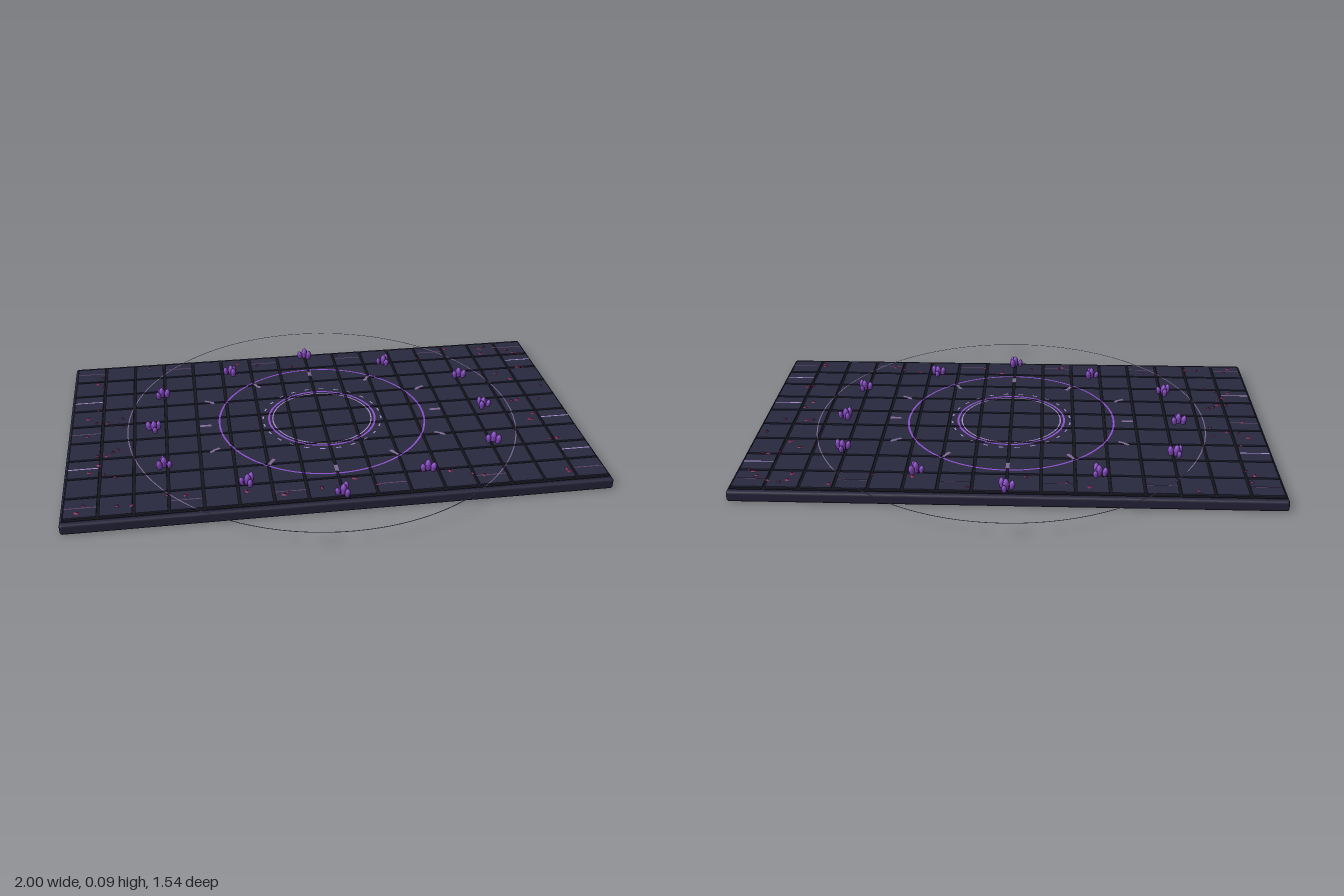
import * as THREE from 'three';
import { mergeGeometries } from 'three/addons/utils/BufferGeometryUtils.js';
import { RoundedBoxGeometry } from 'three/addons/geometries/RoundedBoxGeometry.js';

const mat = (name, color, side = THREE.FrontSide) => {
  const m = new THREE.MeshStandardMaterial({ color, side });
  m.name = name;
  return m;
};

export function createModel() {
  const group = new THREE.Group();
  const slabStone = mat('slab stone', 0x26243a);
  const tileStone = mat('tile stone', 0x29293f);
  const groove = mat('dark groove', 0x15151e);
  const violet = mat('violet rune', 0x9050d0, THREE.DoubleSide);
  const pale = mat('pale rune', 0xa78cc8, THREE.DoubleSide);
  const mauve = mat('mauve rune', 0x7d6a94, THREE.DoubleSide);
  const dim = mat('dim rune', 0x604468, THREE.DoubleSide);
  const crystal = mat('crystal', 0x8448c0);
  const crimson = mat('crimson shard', 0x7c2250);

  let seed = 17;
  const rand = () => (seed = (seed * 16807) % 2147483647) / 2147483647;
  const add = (name, geo, m) => {
    const mesh = new THREE.Mesh(geo, m);
    mesh.name = name;
    group.add(mesh);
  };
  const merged = (name, list, m) => add(name, mergeGeometries(list), m);
  const box = (w, h, d, x, y, z) => new THREE.BoxGeometry(w, h, d).translate(x, y, z);
  // Flat inlay lying just above the tiles
  const inlayY = 0.0525;
  const inlay = (w, d, x, z, turn = 0) =>
    new THREE.PlaneGeometry(w, d).rotateX(-Math.PI / 2).rotateY(turn).translate(x, inlayY, z);

  // Base slab with softened edges and the dark bed below the tiles
  add('slab', new RoundedBoxGeometry(2, 0.042, 1.166, 2, 0.01).translate(0, 0.021, 0), slabStone);
  add('grooveBed', box(1.984, 0.005, 1.126, 0, 0.0415, 0), groove);

  // 16 by 9 paving tiles
  const pitch = 0.124, tiles = [];
  for (let i = 0; i < 16; i++) {
    for (let j = 0; j < 9; j++) {
      tiles.push(box(0.114, 0.01, 0.114, (i - 7.5) * pitch, 0.045, (j - 4) * pitch));
    }
  }
  merged('tiles', tiles, tileStone);

  // Concentric rune rings
  const ring = (name, r, width, m) => add(name,
    new THREE.RingGeometry(r - width / 2, r + width / 2, 96).rotateX(-Math.PI / 2).translate(0, inlayY, 0), m);
  ring('outerRing', 0.77, 0.004, mauve);
  ring('middleRing', 0.41, 0.007, violet);
  ring('innerRing', 0.212, 0.008, violet);
  ring('coreRing', 0.197, 0.005, pale);

  // Dashed ring around the core
  const dashes = [];
  for (let i = 0; i < 24; i++) {
    const a = ((i + 0.5) / 24) * Math.PI * 2;
    dashes.push(inlay(0.02, 0.006, 0.236 * Math.cos(a), 0.236 * Math.sin(a), Math.PI / 2 - a));
  }
  merged('dashedRing', dashes, pale);

  // Mirrored radial marks: x, z, direction in degrees
  const mirrored = (list, visit) => list.forEach(([x, z, ...rest]) => {
    for (const sx of x ? [1, -1] : [1]) for (const sz of z ? [1, -1] : [1]) visit(x * sx, z * sz, sx * sz, ...rest);
  });
  const marks = [];
  mirrored([[0.465, 0, 0], [0.44, 0.187, 30], [0.235, 0.3, 57], [0, 0.375, 90]], (x, z, s, deg) =>
    marks.push(inlay(0.045, 0.014, x, z, (-s * deg * Math.PI) / 180)));
  merged('radialMarks', marks, mauve);

  // Inlaid lines at the two short ends and along the long edges
  const endLines = [[-0.93, -0.25], [-0.93, 0.25], [0.93, -0.375], [0.93, 0.123], [0.93, 0.37]]
    .map(([x, z]) => inlay(0.114, 0.006, x, z));
  merged('endLines', endLines, pale);
  const edgeLines = [inlay(0.114, 0.005, -0.93, 0)];
  for (const z of [-0.5, 0.5]) {
    for (let i = 0; i < 16; i += 3) edgeLines.push(inlay(0.114, 0.005, (i - 7.5) * pitch, z));
  }
  merged('edgeLines', edgeLines, dim);

  // Crystal clusters: spikes widest above the foot
  const spike = (r, h) => new THREE.LatheGeometry(
    [[0.7 * r, 0], [r, 0.5 * h], [0.7 * r, 0.78 * h], [0.0001, h]].map(p => new THREE.Vector2(...p)), 10);
  mirrored([[0.667, 0], [0.633, 0.268], [0.335, 0.428], [0, 0.54]], (x, z) => {
    const parts = [];
    const start = rand() * 6;
    for (let k = 0; k < 4; k++) {
      const a = start + k * 2.1, d = k ? 0.02 : 0;
      parts.push(spike(0.013 - k * 0.001, 0.045 - k * 0.005)
        .rotateZ(k ? -0.15 : 0).rotateY(-a)
        .translate(x + d * Math.cos(a), 0.049, z + d * Math.sin(a)));
    }
    merged('crystalCluster', parts, crystal);
  });

  // Small low shards scattered along the borders
  const shards = [];
  for (let i = 0; i < 64; i++) {
    const side = rand() < 0.5 ? -1 : 1, atEnd = i % 3 > 0;
    const x = atEnd ? side * (0.78 + rand() * 0.18) : (rand() - 0.5) * 1.6;
    const z = atEnd ? (rand() - 0.5) * 1.06 : side * (0.45 + rand() * 0.09);
    shards.push(new THREE.ConeGeometry(0.007 + rand() * 0.005, 0.006, 6, 1, true)
      .scale(1, 1, 0.7).rotateY(rand() * 6).translate(x, 0.053, z));
  }
  merged('shards', shards, crimson);

  return group;
}
